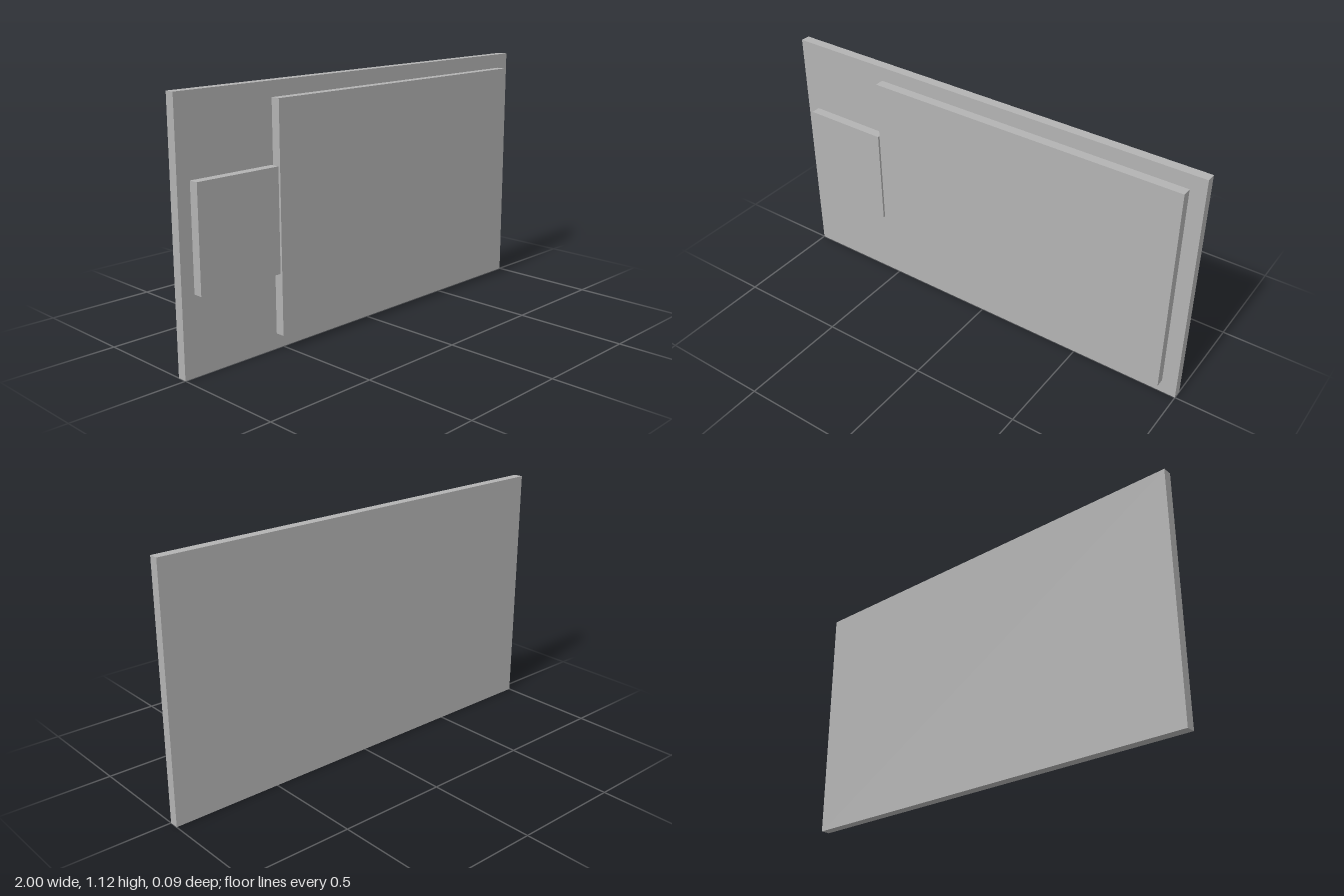
import * as THREE from 'three';

export function createModel() {
  const model = new THREE.Group();
  model.name = 'panelBoard';

  const grey = new THREE.MeshStandardMaterial({ color: 0xb3b3b3 });
  grey.name = 'plain grey';

  // Upright slab given by its left, right, bottom, top, back and front limits
  function slab(name, x0, x1, y0, y1, z0, z1) {
    const mesh = new THREE.Mesh(new THREE.BoxGeometry(x1 - x0, y1 - y0, z1 - z0), grey);
    mesh.position.set((x0 + x1) / 2, (y0 + y1) / 2, (z0 + z1) / 2);
    mesh.name = name;
    model.add(mesh);
  }

  const height = 1.117, depth = 0.0425, margin = 0.066;

  // Backing board
  slab('backingBoard', -1, 1, 0, height, -depth, 0);
  // Large raised panel
  slab('mainPanel', -0.535, 0.932, margin, height - margin, 0, depth);
  // Small raised panel, centred in height
  slab('sidePanel', -0.941, -0.544, 0.336, 0.781, 0, depth);

  return model;
}
